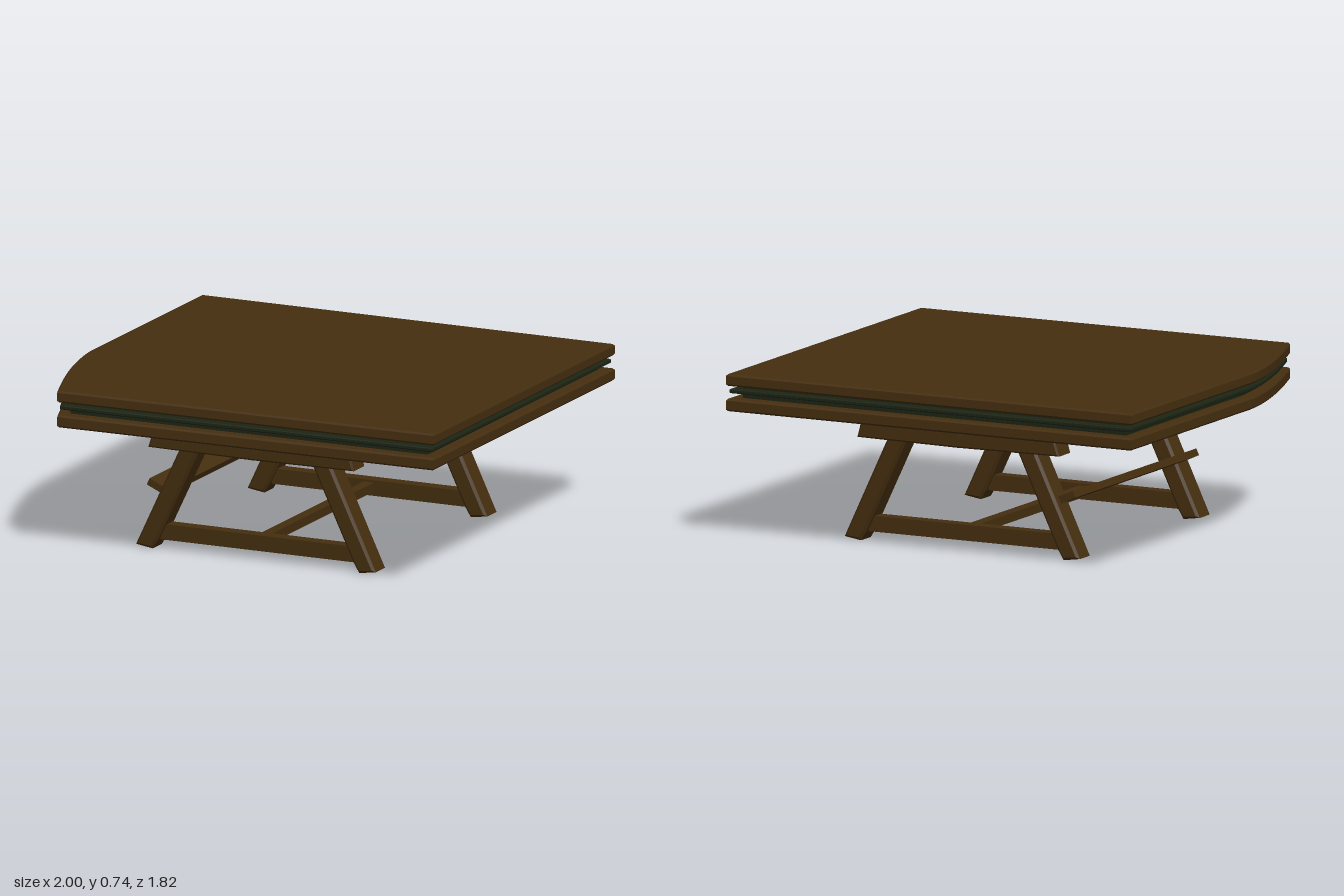
import * as THREE from 'three';

const wood = new THREE.MeshStandardMaterial({ color: 0x452e0f });
wood.name = 'dark brown wood';
const lining = new THREE.MeshStandardMaterial({ color: 0x1c2413 });
lining.name = 'dark green lining';

// Square board outline (x, z) with one bowed, cut front corner
function boardShape() {
  const s = new THREE.Shape();
  s.moveTo(-1, -0.91);
  s.lineTo(1, -0.91);
  s.lineTo(1, 0.885);
  s.lineTo(-0.81, 0.91);
  s.quadraticCurveTo(-0.985, 0.45, -1, 0.2);
  s.closePath();
  return s;
}

// Horizontal board between two heights, pulled in from the outline
function board(name, y0, y1, inset, bevel, material) {
  const g = new THREE.ExtrudeGeometry(boardShape(), {
    depth: y1 - y0 - 2 * bevel, bevelEnabled: true, bevelThickness: bevel,
    bevelSize: bevel, bevelOffset: -bevel - inset, bevelSegments: 1, curveSegments: 14,
  });
  g.rotateX(Math.PI / 2);
  g.translate(0, y1 - bevel, 0);
  const m = new THREE.Mesh(g, material);
  m.name = name;
  return m;
}

// Front-facing profile extruded along z with slightly eased edges
function timber(name, points, z0, z1, bevel = 0.008) {
  const s = new THREE.Shape(points.map(([x, y]) => new THREE.Vector2(x, y)));
  const g = new THREE.ExtrudeGeometry(s, {
    depth: z1 - z0 - 2 * bevel, bevelEnabled: true, bevelThickness: bevel,
    bevelSize: bevel, bevelOffset: -bevel, bevelSegments: 1,
  });
  g.translate(0, 0, z0 + bevel);
  const m = new THREE.Mesh(g, wood);
  m.name = name;
  return m;
}

function box(name, x0, x1, y0, y1, z0, z1) {
  const m = new THREE.Mesh(new THREE.BoxGeometry(x1 - x0, y1 - y0, z1 - z0), wood);
  m.position.set((x0 + x1) / 2, (y0 + y1) / 2, (z0 + z1) / 2);
  m.name = name;
  return m;
}

// End frame: splayed legs, low stretcher and a sagging top beam
function trestle(side) {
  const t = new THREE.Group();
  t.name = side > 0 ? 'frontTrestle' : 'backTrestle';
  const span = (a, b) => (side > 0 ? [a, b] : [-b, -a]);
  for (const s of [-1, 1]) {
    const leg = [[0.58, 0.012], [0.5, 0], [0.475, 0.04], [0.27, 0.47], [0.27, 0.5], [0.35, 0.5]];
    t.add(timber(s > 0 ? 'leftLeg' : 'rightLeg', leg.map(([x, y]) => [x * s, y]), ...span(0.495, 0.61), 0.012));
    t.add(box('cleat', ...(s > 0 ? [0.22, 0.47] : [-0.37, -0.2]), 0.53, 0.585, ...span(0.49, 0.62)));
  }
  t.add(box('stretcher', -0.47, 0.47, 0.04, 0.11, ...span(0.52, 0.58)));
  t.add(timber('topBeam', [[-0.5, 0.465], [0, 0.46], [0.495, 0.465], [0.47, 0.56], [0.25, 0.54],
    [0, 0.53], [-0.25, 0.545], [-0.47, 0.565]], ...span(0.53, 0.648)));
  return t;
}

export function createModel() {
  const table = new THREE.Group();
  table.name = 'foldingTable';

  // Stacked top: two boards with a lined gap and a thin leaf between them
  table.add(board('upperBoard', 0.69, 0.742, 0, 0.008, wood));
  table.add(board('gapCore', 0.62, 0.7, 0.055, 0.004, lining));
  table.add(board('middleLeaf', 0.657, 0.676, 0.012, 0.004, lining));
  table.add(board('lowerBoard', 0.578, 0.633, 0, 0.008, wood));

  // Trestles
  table.add(trestle(1), trestle(-1));

  // Rails running front to back
  table.add(box('centreRunner', -0.1, 0.1, 0.54, 0.58, -0.83, 0.84));
  table.add(box('upperRail', 0.42, 0.465, 0.48, 0.54, -0.64, 0.64));
  table.add(box('lowRail', -0.025, 0.025, 0.06, 0.1, -0.54, 0.54));

  // Tilted side slat fixed outside the right legs
  const slat = new THREE.Mesh(new THREE.BoxGeometry(0.1, 0.032, 1.14), wood);
  slat.name = 'sideSlat';
  slat.position.set(-0.49, 0.27, 0);
  slat.rotation.z = -0.42;
  table.add(slat);
  return table;
}
